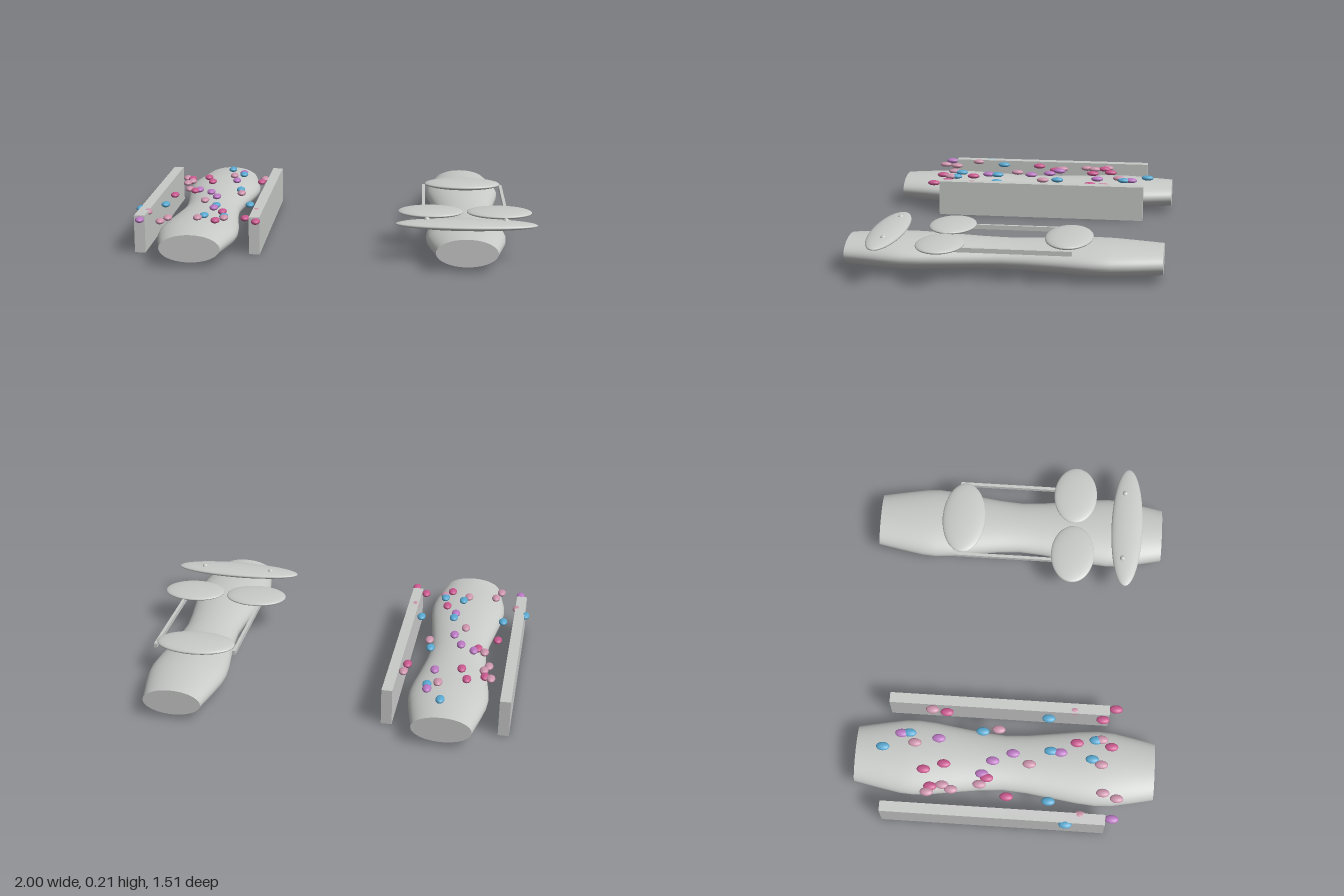
import * as THREE from 'three';

const material = (name, color) => new THREE.MeshStandardMaterial({ name, color });

export function createModel() {
  const model = new THREE.Group();
  const grey = material('pale grey', 0xc8cac8);

  const add = (parent, name, geometry, mat, x, y, z) => {
    const mesh = new THREE.Mesh(geometry, mat);
    mesh.name = name;
    mesh.position.set(x, y, z);
    parent.add(mesh);
    return mesh;
  };
  const ellipsoid = (rx, ry, rz, w = 40, h = 24) =>
    new THREE.SphereGeometry(1, w, h).scale(rx, ry, rz);

  // Flattened torso form: half width along z, thinner in height
  const flatten = (r) => 0.22 + 0.035 / r;
  const profile = [
    [0.145, -0.757], [0.173, -0.62], [0.191, -0.52], [0.195, -0.45], [0.187, -0.36],
    [0.17, -0.25], [0.152, -0.12], [0.143, 0], [0.152, 0.12], [0.17, 0.25],
    [0.187, 0.37], [0.195, 0.47], [0.19, 0.55], [0.17, 0.65], [0.147, 0.757],
  ].map(([r, z]) => new THREE.Vector2(r, z));
  const bodyGeometry = new THREE.LatheGeometry(profile, 48).rotateX(Math.PI / 2);
  const p = bodyGeometry.attributes.position;
  for (let i = 0; i < p.count; i++) {
    p.setY(i, p.getY(i) * flatten(Math.hypot(p.getX(i), p.getY(i))));
  }
  bodyGeometry.computeVertexNormals();

  const torso = (parent, x) => {
    add(parent, 'torso', bodyGeometry, grey, x, 0.09, 0);
    for (const [side, r] of [[1, 0.147], [-1, 0.145]]) {
      const cap = add(parent, 'torsoEnd', new THREE.CircleGeometry(r, 48), grey, x, 0.09, side * 0.757);
      cap.scale.y = flatten(r);
      if (side < 0) cap.rotation.y = Math.PI;
    }
  };

  // Torso lying between two boards
  const boarded = new THREE.Group();
  boarded.name = 'boardedTorso';
  torso(boarded, -0.664);
  for (const x of [-0.949, -0.382]) {
    add(boarded, 'sideBoard', new THREE.BoxGeometry(0.053, 0.187, 1.125), grey, x, 0.0935, -0.045);
  }

  // Scattered beads, as x, z pairs for each colour
  const beads = [
    [material('blue', 0x58a8d0), [
      -0.64, -0.62, -0.56, -0.49, -0.53, -0.12, -0.44, 0.21, -0.87, 0.23, -0.98, 0.32,
      -0.61, 0.23, -0.64, 0.44, -0.54, 0.455]],
    [material('purple', 0xba78c2), [
      -0.565, -0.53, -0.58, -0.34, -0.75, -0.11, -0.68, -0.06, -0.635, 0.04, -0.615, 0.28,
      -0.94, 0.55]],
    [material('deep pink', 0xc8588e), [
      -0.745, -0.405, -0.83, -0.365, -0.71, -0.305, -0.44, -0.31, -0.77, -0.085, -0.86, 0.02,
      -0.56, 0.36, -0.57, 0.535, -0.43, 0.485, -0.37, 0.55]],
    [material('dusty pink', 0xcc94ac), [
      -0.61, -0.46, -0.86, -0.38, -0.82, -0.305, -0.84, -0.26, -0.43, -0.385, -0.805, -0.12,
      -0.515, -0.04, -0.685, 0.125, -0.81, 0.5, -0.835, 0.57, -0.665, 0.487, -0.535, 0.483,
      -0.93, 0.39, -0.39, 0.34]],
  ];
  const beadGeometry = ellipsoid(0.022, 0.014, 0.034, 16, 12);
  for (const [mat, spots] of beads) {
    for (let i = 0; i < spots.length; i += 2) {
      add(boarded, 'bead', beadGeometry, mat, spots[i], 0.175, spots[i + 1]);
    }
  }

  // Torso with flat oval pads, straps and a collar
  const padded = new THREE.Group();
  padded.name = 'paddedTorso';
  const cx = 0.652;
  torso(padded, cx);
  add(padded, 'lowerPad', ellipsoid(0.203, 0.024, 0.115), grey, cx, 0.18, -0.308);
  add(padded, 'collar', ellipsoid(0.342, 0.024, 0.083), grey, cx, 0.181, 0.567);
  for (const side of [-1, 1]) {
    add(padded, 'upperPad', ellipsoid(0.163, 0.02, 0.115), grey, cx + side * 0.172, 0.173, 0.284);
    add(padded, 'strap', new THREE.BoxGeometry(0.016, 0.022, 0.6), grey, cx + side * 0.207, 0.159, -0.04);
    add(padded, 'knob', ellipsoid(0.015, 0.015, 0.015, 16, 12), grey, cx + side * 0.19, 0.196, 0.55);
  }

  model.add(boarded, padded);
  return model;
}
